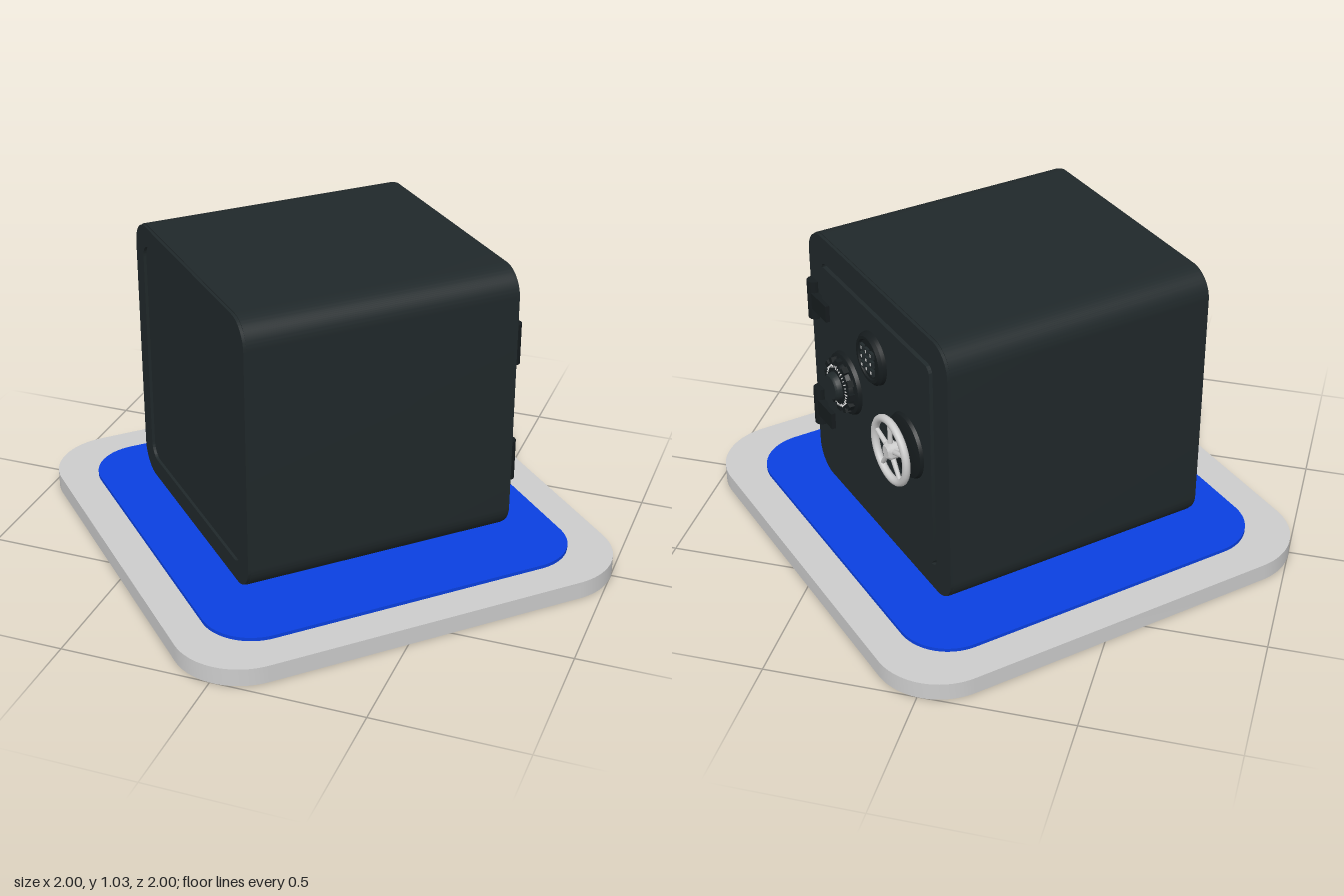
import * as THREE from 'three';
import { toCreasedNormals } from 'three/addons/utils/BufferGeometryUtils.js';

const dark = new THREE.MeshStandardMaterial({ color: 0x20282a });
const black = new THREE.MeshStandardMaterial({ color: 0x161c1e });
const blue = new THREE.MeshStandardMaterial({ color: 0x0a40e0 });
const grey = new THREE.MeshStandardMaterial({ color: 0xcccccc });

function add(parent, name, geometry, material, x = 0, y = 0, z = 0) {
  const mesh = new THREE.Mesh(geometry, material);
  mesh.name = name;
  mesh.position.set(x, y, z);
  parent.add(mesh);
  return mesh;
}

// Rounded rectangle outline with half sizes a, b and corner radius r
function roundedRect(a, b, r, target = new THREE.Shape()) {
  target.moveTo(a, r - b);
  target.absarc(a - r, b - r, r, 0, Math.PI / 2);
  target.absarc(r - a, b - r, r, Math.PI / 2, Math.PI);
  target.absarc(r - a, r - b, r, Math.PI, Math.PI * 1.5);
  target.absarc(a - r, r - b, r, Math.PI * 1.5, Math.PI * 2);
  return target;
}

function slab(shape, depth) {
  const g = new THREE.ExtrudeGeometry(shape, { depth, bevelEnabled: false, curveSegments: 12 });
  return toCreasedNormals(g, 0.6);
}

// Turned part whose axis points along +z
function turned(points, segments = 40) {
  const g = new THREE.LatheGeometry(points.map(([r, h]) => new THREE.Vector2(r, h)), segments);
  return toCreasedNormals(g.rotateX(Math.PI / 2), 0.6);
}

function frame(half, hole, r, depth) {
  const shape = roundedRect(half, half, 0.09);
  shape.holes.push(roundedRect(hole, hole, r, new THREE.Path()));
  return slab(shape, depth);
}

function handWheel() {
  const g = new THREE.Group();
  g.name = 'handWheel';
  add(g, 'wheelPlate', turned([[0, 0.018], [0.085, 0.018], [0.105, 0.012], [0.11, 0]]
    .reverse()), black);
  add(g, 'wheelShaft', turned([[0.022, 0], [0.022, 0.06], [0, 0.06]]), grey);
  add(g, 'wheelRim', new THREE.TorusGeometry(0.105, 0.013, 12, 40), grey, 0, 0, 0.06);
  add(g, 'wheelHub', turned([[0, 0.045], [0.03, 0.045], [0.03, 0.068], [0.02, 0.078], [0, 0.078]]), grey);
  for (let i = 0; i < 5; i++) {
    const a = (i / 5) * Math.PI * 2;
    const spoke = add(g, 'wheelSpoke', new THREE.CylinderGeometry(0.007, 0.009, 0.08, 10), grey,
      -Math.sin(a) * 0.063, Math.cos(a) * 0.063, 0.06);
    spoke.rotation.z = a;
  }
  return g;
}

function dial() {
  const g = new THREE.Group();
  g.name = 'combinationDial';
  add(g, 'dialBase', turned([[0.11, 0], [0.105, 0.014], [0.09, 0.02], [0, 0.02]]), black);
  add(g, 'dialRing', turned([[0.085, 0.02], [0.08, 0.034], [0.06, 0.042], [0, 0.042]]), black);
  add(g, 'dialKnob', turned([[0.05, 0.04], [0.046, 0.058], [0.04, 0.064], [0, 0.064]], 20), dark);
  // Grip bumps and fine scale marks
  for (let i = 0; i < 12; i++) {
    const a = (i / 12) * Math.PI * 2;
    const bump = add(g, 'dialGrip', new THREE.BoxGeometry(0.016, 0.022, 0.02), black,
      Math.cos(a) * 0.086, Math.sin(a) * 0.086, 0.028);
    bump.rotation.z = a;
  }
  for (let i = 0; i < 36; i++) {
    const a = (i / 36) * Math.PI * 2;
    const mark = add(g, 'dialMark', new THREE.BoxGeometry(i % 3 ? 0.007 : 0.012, 0.003, 0.006), grey,
      Math.cos(a) * 0.067, Math.sin(a) * 0.067, 0.039);
    mark.rotation.z = a;
  }
  return g;
}

function keypad() {
  const g = new THREE.Group();
  g.name = 'keypad';
  add(g, 'keypadBase', turned([[0.09, 0], [0.088, 0.014], [0.078, 0.024], [0.068, 0.024], [0.064, 0.019], [0, 0.019]]), black);
  for (let row = -1; row <= 1; row++) {
    for (let col = -1; col <= 1; col++) {
      add(g, 'key', new THREE.BoxGeometry(0.022, 0.022, 0.012), dark, col * 0.031, row * 0.031, 0.022);
      add(g, 'keyMark', new THREE.BoxGeometry(0.006, 0.01, 0.002), grey, col * 0.031, row * 0.031, 0.0285);
    }
  }
  return g;
}

function hinge() {
  const g = new THREE.Group();
  g.name = 'hinge';
  add(g, 'hingeBarrel', new THREE.CylinderGeometry(0.024, 0.024, 0.14, 16), black, -0.435, 0, 0.004);
  add(g, 'hingeArm', new THREE.BoxGeometry(0.11, 0.06, 0.03), black, -0.37, 0, 0.008);
  return g;
}

export function createModel() {
  const model = new THREE.Group();
  model.name = 'safeOnPlinth';
  const turn = new THREE.Group();
  turn.name = 'turnedAssembly';
  turn.rotation.y = Math.PI * 0.75;
  model.add(turn);

  // Plinth and mat
  add(turn, 'plinth', slab(roundedRect(0.782, 0.764, 0.22), 0.06).rotateX(-Math.PI / 2), grey);
  add(turn, 'mat', slab(roundedRect(0.657, 0.643, 0.17), 0.012).rotateX(-Math.PI / 2), blue, 0, 0.06, 0);

  // Safe, door towards local +z
  const safe = new THREE.Group();
  safe.name = 'safe';
  safe.position.set(0.018, 0.56, -0.004);
  turn.add(safe);
  const half = 0.467;
  add(safe, 'body', slab(roundedRect(half, 0.47, 0.09), 0.914), dark, 0, 0, -0.457);
  add(safe, 'frontFrame', frame(half, 0.376, 0.03, 0.01), dark, 0, 0, 0.457);
  add(safe, 'backFrame', frame(half, 0.4, 0.05, 0.01), dark, 0, 0, -half);
  add(safe, 'foot', new THREE.BoxGeometry(0.73, 0.03, 0.73), black, 0, -0.478, 0);
  add(safe, 'door', slab(roundedRect(0.368, 0.368, 0.025), 0.018), dark, 0, 0, 0.457);

  // Door fittings
  const place = (part, x, y, z) => {
    part.position.set(x, y, z);
    safe.add(part);
  };
  place(dial(), -0.205, 0.005, 0.474);
  place(handWheel(), 0.213, 0.005, 0.474);
  place(keypad(), 0, 0.21, 0.474);
  for (const y of [0.21, -0.21]) place(hinge(), 0, y, half);
  return model;
}
